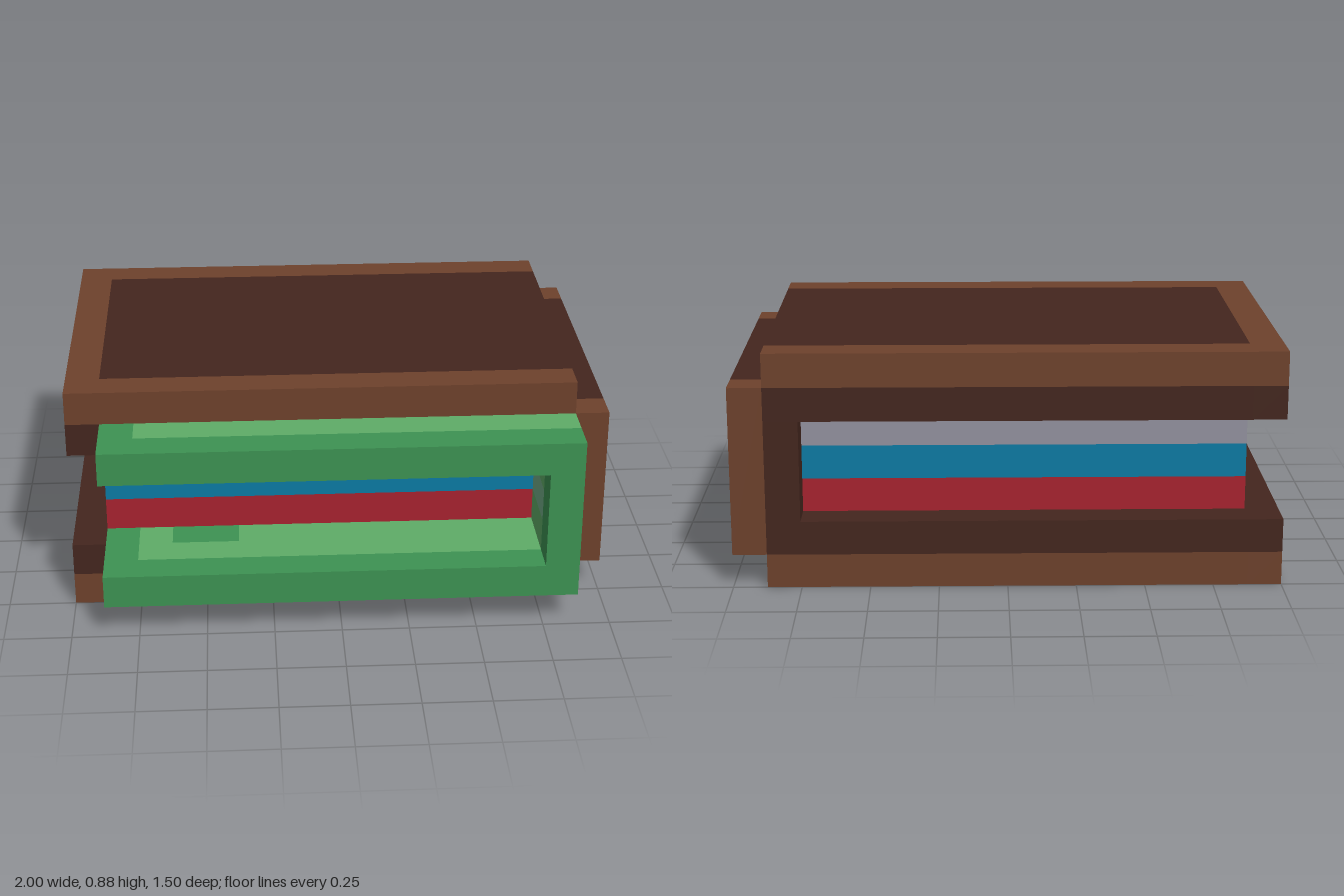
import * as THREE from 'three';

const COLORS = {
  trim: 0x6e422c, leather: 0x44261e, green: 0x3d9353, lightGreen: 0x5fad68, paleGreen: 0x73ad88,
  red: 0xa8222f, blue: 0x0a7ba4, grey: 0x93929f,
};
const MATERIALS = {};
for (const key in COLORS) {
  MATERIALS[key] = new THREE.MeshStandardMaterial({ color: COLORS[key], flatShading: true });
}

// Box given by its extents in grid cells of 1/8 unit
function block(parent, name, color, [x0, x1], [y0, y1], [z0, z1]) {
  const mesh = new THREE.Mesh(
    new THREE.BoxGeometry((x1 - x0) / 8, (y1 - y0) / 8, (z1 - z0) / 8), MATERIALS[color]);
  mesh.position.set((x0 + x1) / 16, (y0 + y1) / 16, (z0 + z1) / 16);
  mesh.name = name;
  parent.add(mesh);
}

function group(parent, name) {
  const g = new THREE.Group();
  g.name = name;
  parent.add(g);
  return g;
}

export function createModel() {
  const model = new THREE.Group();
  model.name = 'book';

  // Covers: dark panel with a lighter trim on three edges, and a dark inner lining
  const covers = [['lowerCover', [0, 1], [1, 2]], ['upperCover', [6, 7], [5, 6]]];
  for (const [name, outer, inner] of covers) {
    const cover = group(model, name);
    block(cover, 'panel', 'leather', [-7, 7], outer, [-5, 3]);
    block(cover, 'openEdgeTrim', 'trim', [-8, -7], outer, [-6, 4]);
    block(cover, 'backTrim', 'trim', [-7, 7], outer, [-6, -5]);
    block(cover, 'frontTrim', 'trim', [-7, 7], outer, [3, 4]);
    block(cover, 'lining', 'leather', [-7, 7], inner, [-6, 3]);
    block(cover, 'liningEdge', 'leather', [-8, -7], inner, [-6, 4]);
  }

  // Spine with trimmed ends
  const spine = group(model, 'spine');
  block(spine, 'spinePanel', 'leather', [7, 8], [1, 6], [-5, 3]);
  block(spine, 'spineBackTrim', 'trim', [7, 8], [1, 6], [-6, -5]);
  block(spine, 'spineFrontTrim', 'trim', [7, 8], [1, 6], [3, 4]);
  block(spine, 'spineLining', 'leather', [6, 7], [2, 5], [-6, 3]);

  // Page block in three coloured layers
  const pages = group(model, 'pages');
  ['red', 'blue', 'grey'].forEach((color, i) =>
    block(pages, color + 'Pages', color, [-7, 6], [2 + i, 3 + i], [-5, 3]));

  // Green sleeve: two boards joined by a column, with a dark front rim
  const sleeve = group(model, 'sleeve');
  for (const [name, y] of [['lowerBoard', [1, 2]], ['upperBoard', [5, 6]]]) {
    const board = group(sleeve, name);
    block(board, 'boardRim', 'green', [-7, 7], y, [5, 6]);
    block(board, 'boardEnd', 'green', [-7, -6], y, [3, 5]);
    block(board, 'boardFace', 'lightGreen', [-6, 7], y, [4, 5]);
    block(board, 'boardRootLeft', 'lightGreen', [-6, -5], y, [3, 4]);
    block(board, 'boardPatch', 'green', [-5, -3], y, [3, 4]);
    block(board, 'boardRootRight', 'lightGreen', [-3, 7], y, [3, 4]);
  }
  block(sleeve, 'columnRim', 'green', [6, 7], [2, 5], [5, 6]);
  block(sleeve, 'columnLower', 'lightGreen', [6, 7], [2, 3], [3, 5]);
  block(sleeve, 'columnPatch', 'paleGreen', [6, 7], [3, 4], [3, 5]);
  block(sleeve, 'columnUpper', 'lightGreen', [6, 7], [4, 5], [3, 5]);

  return model;
}
